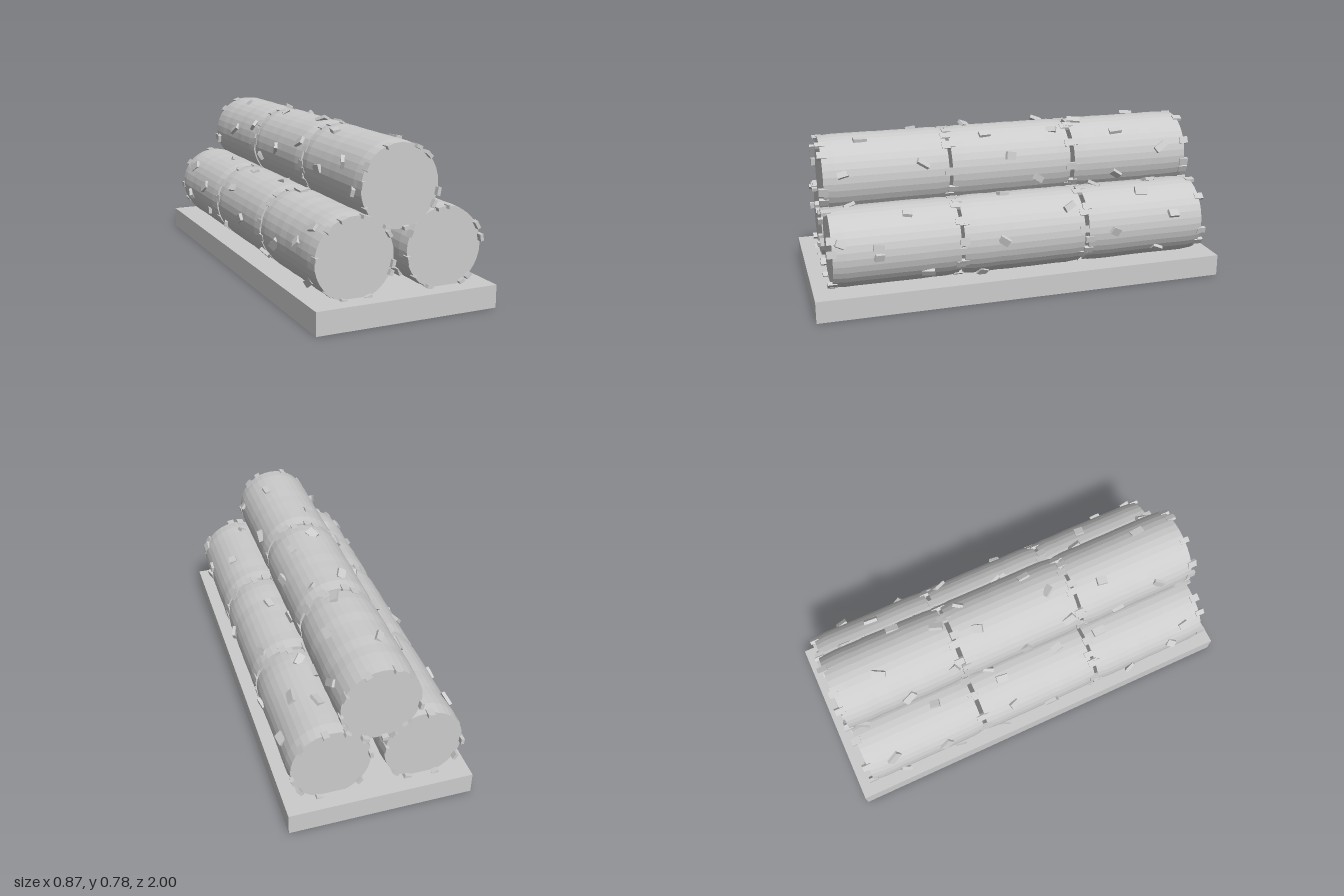
import * as THREE from 'three';

const RADIUS = 0.189, HALF = 0.2975;
const rad = THREE.MathUtils.degToRad;

// Small seeded generator, returns values in -1..1
function seeded(seed) {
  let s = seed;
  return () => {
    s = (s * 16807) % 2147483647;
    return (s / 2147483647) * 2 - 1;
  };
}

// Each row of bales: centre, plus loose straw chips as [angle in degrees, z]
const rows = [
  {
    name: 'topRow', x: -0.007, y: 0.566,
    chips: [[109, -0.69], [48, -0.55], [79, -0.36], [106, -0.19], [59, -0.22], [59, 0.12], [97, 0.19],
      [114, 0.45], [66, 0.72], [155, 0.72], [149, 0.24], [149, -0.36], [13, 0.82], [20, 0.44], [21, 0.01],
      [-16, -0.13], [17, -0.78], [-20, -0.54], [175, 0.5], [170, 0], [165, -0.6], [190, -0.2], [190, -0.85], [185, 0.85]],
  },
  {
    name: 'rightRow', x: -0.216, y: 0.275,
    chips: [[144, -0.78], [94, -0.5], [100, -0.15], [144, -0.14], [91, 0.16], [94, 0.39], [139, 0.81],
      [165, 0.73], [165, -0.52], [185, 0.5], [205, -0.2], [190, -0.75], [215, 0.3], [215, 0.8], [180, 0.05],
      [200, -0.45], [-5, 0.5], [5, -0.1], [-40, 0.15], [-35, -0.65], [10, -0.8]],
  },
  {
    name: 'leftRow', x: 0.215, y: 0.275,
    chips: [[60, -0.62], [91, -0.7], [91, -0.41], [45, -0.23], [85, 0.07], [60, 0.55], [95, 0.8], [13, 0.7],
      [23, 0.87], [0, 0.7], [-35, 0.47], [5, 0.11], [-52, 0.2], [2, -0.45], [20, -0.76], [-37, -0.69],
      [185, 0.6], [175, 0.1], [215, -0.2], [190, -0.6], [220, 0.75]],
  },
];

export function createModel() {
  const group = new THREE.Group();
  const straw = new THREE.MeshStandardMaterial({ color: 0xcccccc, flatShading: true });
  const rand = seeded(4271);

  function add(parent, geometry, name) {
    const mesh = new THREE.Mesh(geometry, straw);
    mesh.name = name;
    parent.add(mesh);
    return mesh;
  }

  // Platform
  add(group, new THREE.BoxGeometry(0.866, 0.105, 2), 'platform').position.y = 0.0525;

  // Bale: flat-ended roll with slightly uneven rings and softened rims
  function baleGeometry() {
    const profile = [new THREE.Vector2(0, -HALF), new THREE.Vector2(0.184, -HALF)];
    const rings = 10;
    for (let i = 1; i < rings; i++) {
      profile.push(new THREE.Vector2(RADIUS + rand() * 0.0015, -HALF + (2 * HALF * i) / rings));
    }
    profile.push(new THREE.Vector2(0.184, HALF), new THREE.Vector2(0, HALF));
    return new THREE.LatheGeometry(profile, 36).rotateX(Math.PI / 2);
  }

  // Holder whose +y axis points radially out of the roll
  function onRim(parent, mesh, angle, radius, z) {
    mesh.position.set(Math.cos(angle) * radius, Math.sin(angle) * radius, z);
    mesh.rotation.z = angle - Math.PI / 2;
    parent.add(mesh);
  }

  for (const row of rows) {
    const rowGroup = new THREE.Group();
    rowGroup.name = row.name;
    rowGroup.position.set(row.x, row.y, 0);
    group.add(rowGroup);

    for (const z of [-0.617, 0, 0.612]) {
      add(rowGroup, baleGeometry(), 'bale').position.z = z;

      // Straw ends poking out around both rims
      for (const side of [-1, 1]) {
        const count = 10;
        for (let i = 0; i < count; i++) {
          const angle = ((i + rand() * 0.35) / count) * Math.PI * 2;
          const tuft = add(rowGroup, new THREE.BoxGeometry(0.032 + rand() * 0.006, 0.016, 0.045), 'rimTuft');
          onRim(rowGroup, tuft, angle, 0.181, z + side * (HALF + rand() * 0.004));
        }
      }
    }

    // Loose chips lifting off the sides at odd angles
    for (const [degrees, z] of row.chips) {
      const holder = new THREE.Group();
      holder.name = 'looseStraw';
      onRim(rowGroup, holder, rad(degrees), RADIUS + 0.004, z);
      const chip = add(holder, new THREE.BoxGeometry(0.034 + rand() * 0.006, 0.016, 0.056 + rand() * 0.012), 'strawChip');
      chip.rotation.set(rand() * 0.45, rand() * 0.7, rand() * 0.45);
    }
  }
  return group;
}
